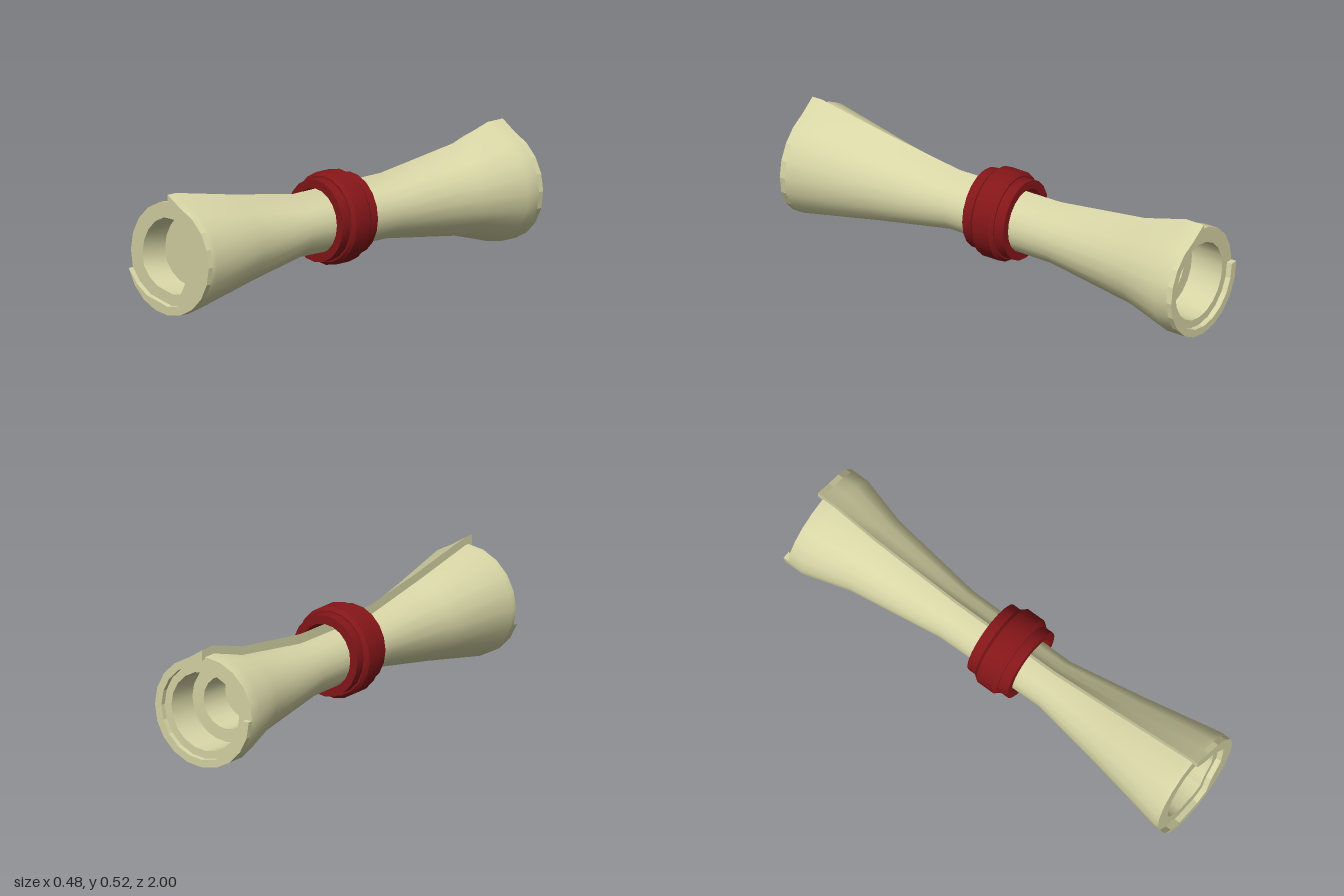
import * as THREE from 'three';
import { toCreasedNormals, mergeGeometries } from 'three/addons/utils/BufferGeometryUtils.js';

const SIDES = 20;
const CY = 0.242; // height of the scroll axis

const paper = new THREE.MeshStandardMaterial({ color: 0xd8d6a6 });
const red = new THREE.MeshStandardMaterial({ color: 0x851619 });

// Rolled sheet outline, clockwise from the free edge at the top
function section(r, jut) {
  const pts = [];
  for (let k = 0; k <= SIDES; k++) {
    const a = Math.PI / 2 - (k / SIDES) * Math.PI * 2;
    const rr = k === 0 ? r + jut : r;
    pts.push(new THREE.Vector2(Math.cos(a) * rr, CY + Math.sin(a) * rr));
  }
  return pts;
}

function circle(r) {
  return section(r, 0).slice(0, SIDES);
}

// Skin between closed clockwise loops, listed from +z to -z; inward turns it inside out
function loft(loops, inward = false) {
  const n = loops[0].pts.length;
  const pos = [], idx = [];
  for (const { pts, z } of loops) for (const p of pts) pos.push(p.x, p.y, z);
  for (let i = 0; i < loops.length - 1; i++) {
    for (let k = 0; k < n; k++) {
      const a = i * n + k, b = i * n + ((k + 1) % n), c = a + n, d = b + n;
      if (inward) idx.push(a, c, b, b, c, d);
      else idx.push(a, b, c, b, d, c);
    }
  }
  const g = new THREE.BufferGeometry();
  g.setAttribute('position', new THREE.Float32BufferAttribute(pos, 3));
  g.setIndex(idx);
  return toCreasedNormals(g, 0.6);
}

// Flat face at z, facing +z or -z, with an optional hole
function cap(pts, z, dir, hole) {
  const shape = new THREE.Shape(pts);
  if (hole) shape.holes.push(new THREE.Path(hole));
  const g = new THREE.ShapeGeometry(shape);
  g.translate(0, 0, z);
  g.deleteAttribute('uv');
  if (dir < 0) g.index.array.reverse();
  const flat = g.toNonIndexed();
  flat.computeVertexNormals();
  return flat;
}

// Raised end of the outermost layer, between an outer and an inner edge
function lip(outer, inner, z) {
  const shape = new THREE.Shape([...outer, ...inner.slice().reverse()]);
  return new THREE.ExtrudeGeometry(shape, { depth: 0.025, bevelEnabled: false }).translate(0, 0, z);
}

const vecs = (list) => list.map(([x, y]) => new THREE.Vector2(x, y));

export function createModel() {
  const model = new THREE.Group();
  const add = (name, geometry, material) => {
    const mesh = new THREE.Mesh(geometry, material);
    mesh.name = name;
    model.add(mesh);
    return mesh;
  };

  // Flared outer sheet: z, radius, height of the free edge
  const stations = [
    [0.975, 0.242, 0.036], [0.95, 0.242, 0.036], [0.6, 0.175, 0.038], [0.25, 0.115, 0.043],
    [-0.27, 0.12, 0.042], [-0.7, 0.179, 0.038], [-0.91, 0.239, 0.036], [-0.975, 0.239, 0.036],
  ];
  add('rolledSheet', loft(stations.map(([z, r, j]) => ({ pts: section(r, j), z }))), paper);

  // Front end: crumpled hollow with a flat floor
  const hollow = vecs([
    [0.007, 0.411], [0.05, 0.371], [0.103, 0.371], [0.116, 0.317], [0.142, 0.283], [0.138, 0.237],
    [0.13, 0.2], [0.077, 0.145], [0.053, 0.095], [0.007, 0.087], [-0.087, 0.11], [-0.13, 0.14],
    [-0.165, 0.185], [-0.173, 0.24], [-0.165, 0.293], [-0.14, 0.343], [-0.1, 0.385], [-0.048, 0.411],
  ]);
  add('frontEnd', mergeGeometries([
    cap(section(0.242, 0.036), 0.975, 1, hollow),
    loft([{ pts: hollow, z: 0.975 }, { pts: hollow, z: 0.84 }], true),
    cap(hollow, 0.84, 1),
  ]), paper);

  // Front lip tapers away on the right side
  const frontInner = vecs([
    [0, 0.472], [0.057, 0.422], [0.108, 0.391], [0.145, 0.35], [0.181, 0.302], [0.178, 0.265],
    [0.163, 0.19], [0.093, 0.115], [0.062, 0.048], [0, 0.037], [-0.125, 0.068], [-0.185, 0.11],
  ]);
  add('frontLip', lip(section(0.242, 0.036).slice(0, 15), frontInner, 0.975), paper);

  // Back end: round hollow stepping down to a deeper, narrower one
  const wide = circle(0.172), narrow = circle(0.115);
  add('backEnd', mergeGeometries([
    cap(section(0.239, 0.036), -0.975, -1, wide),
    loft([{ pts: wide, z: -0.82 }, { pts: wide, z: -0.975 }], true),
    cap(wide, -0.82, -1, narrow),
    loft([{ pts: narrow, z: -0.66 }, { pts: narrow, z: -0.82 }], true),
    cap(narrow, -0.66, -1),
  ]), paper);

  // Back lip stops short, leaving a gap below the free edge
  add('backLip', lip(section(0.239, 0.036).slice(0, 16), section(0.206, 0.024).slice(0, 16), -1), paper);

  // Stepped band around the neck, slightly taller than wide
  const profile = vecs([
    [0.14, -0.105], [0.178, -0.105], [0.178, -0.058], [0.186, -0.058], [0.2, -0.042],
    [0.2, 0.042], [0.186, 0.058], [0.178, 0.058], [0.178, 0.105], [0.14, 0.105], [0.14, -0.105],
  ]);
  const ring = toCreasedNormals(new THREE.LatheGeometry(profile, SIDES), 0.5);
  ring.rotateX(Math.PI / 2).scale(0.925, 1, 1);
  add('band', ring, red).position.set(0, 0.262, 0.016);

  return model;
}
